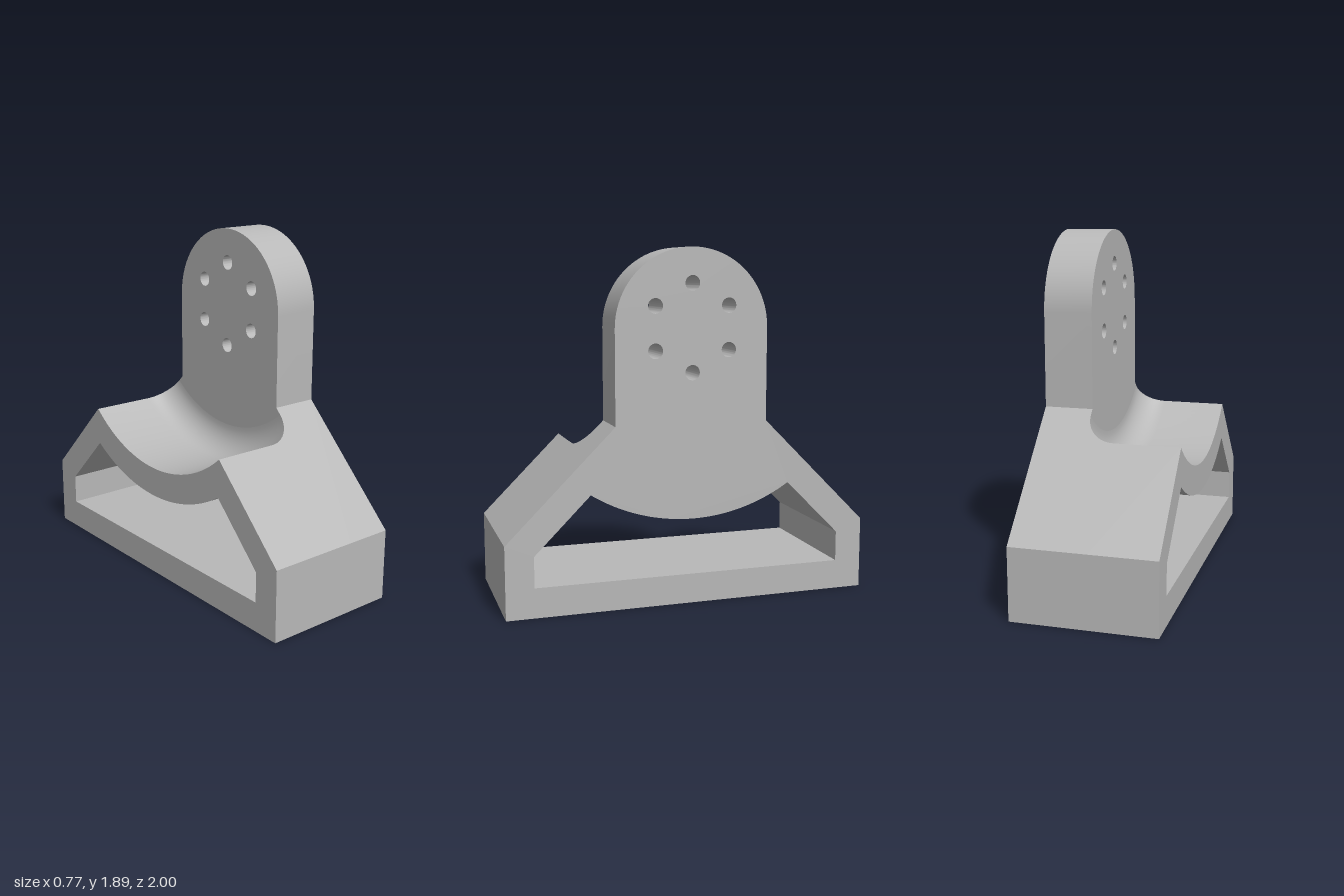
import * as THREE from 'three';
import { toCreasedNormals } from 'three/addons/utils/BufferGeometryUtils.js';

const HALF = 0.385;       // half width along x
const FACE = 0.125;       // inner face of the upright plate
const FILLET = 0.155;     // fillet between saddle and plate
const AXIS = 1.473;       // height of the bore axis
const HEAD = 0.417;       // radius of the rounded head
const SADDLE = 0.85;      // radius of the saddle
const SLOPE = 1.39;       // shoulders lie on |z| + y = SLOPE
const FILLET_STEPS = 12;

// Points on a circle about the bore axis; angle 0 points straight down
function arc(radius, from, to, n) {
  return Array.from({ length: n + 1 }, (_, i) => {
    const a = from + (to - from) * i / n;
    return new THREE.Vector2(radius * Math.sin(a), AXIS - radius * Math.cos(a));
  });
}

const points = list => list.map(([x, y]) => new THREE.Vector2(x, y));

// Angle at which a circle about the bore axis meets the shoulder
function shoulderAngle(radius) {
  const d = AXIS - SLOPE;
  return Math.asin((-d + Math.sqrt(2 * radius * radius - d * d)) / 2 / radius);
}

// Opening under the saddle, through the full width
function windowHole() {
  const r = Math.hypot(0.55, AXIS - 0.625), a = Math.asin(0.55 / r);
  return new THREE.Path([
    ...points([[-0.85, 0.325], [-0.85, 0.16], [0.85, 0.16], [0.85, 0.325]]),
    ...arc(r, a, -a, 40),
  ]);
}

function finish(geometry) {
  geometry.rotateY(Math.PI / 2);
  return toCreasedNormals(geometry, 0.5);
}

// Upright plate with rounded head and a ring of six bolt holes
function plateGeometry() {
  const shape = new THREE.Shape([
    ...points([[-1, 0], [1, 0], [1, SLOPE - 1], [HEAD, SLOPE - HEAD]]),
    ...arc(HEAD, Math.PI / 2, Math.PI * 1.5, 48),
    ...points([[-HEAD, SLOPE - HEAD], [-1, SLOPE - 1]]),
  ]);
  shape.holes.push(windowHole());
  for (let i = 0; i < 6; i++) {
    const a = i * Math.PI / 3;
    shape.holes.push(new THREE.Path().absarc(
      0.232 * Math.sin(a), AXIS + 0.232 * Math.cos(a), 0.04, 0, Math.PI * 2, true));
  }
  const g = new THREE.ExtrudeGeometry(shape, {
    depth: HALF - FACE, bevelEnabled: false, curveSegments: 24,
  });
  g.translate(0, 0, FACE);
  return finish(g);
}

// Saddle base: extruded in steps, its curved top then shrinks along the fillet
function saddleGeometry() {
  const a0 = shoulderAngle(SADDLE);
  const shape = new THREE.Shape([
    ...points([[-1, 0], [1, 0], [1, SLOPE - 1]]),
    ...arc(SADDLE, a0, -a0, 40),
    ...points([[-1, SLOPE - 1]]),
  ]);
  shape.holes.push(windowHole());
  const steps = FILLET_STEPS + 1;
  const g = new THREE.ExtrudeGeometry(shape, { depth: steps, steps, bevelEnabled: false });
  const p = g.attributes.position;
  for (let i = 0; i < p.count; i++) {
    const x = p.getX(i), y = p.getY(i), k = Math.round(p.getZ(i));
    const phi = Math.max(0, k - 1) / FILLET_STEPS * Math.PI / 2;
    p.setZ(i, k === 0 ? -HALF : FACE - FILLET + FILLET * Math.sin(phi));
    if (Math.abs(Math.hypot(x, y - AXIS) - SADDLE) < 1e-3) {
      const r = SADDLE - FILLET * (1 - Math.cos(phi));
      const a = Math.atan2(x, AXIS - y) / a0 * shoulderAngle(r);
      p.setXY(i, r * Math.sin(a), AXIS - r * Math.cos(a));
    }
  }
  return finish(g);
}

export function createModel() {
  const grey = new THREE.MeshStandardMaterial({ color: 0xb8b8b8 });
  grey.name = 'grey metal';
  const group = new THREE.Group();
  group.name = 'mountingBracket';
  const parts = { uprightPlate: plateGeometry(), saddleBase: saddleGeometry() };
  for (const [name, geometry] of Object.entries(parts)) {
    const mesh = new THREE.Mesh(geometry, grey);
    mesh.name = name;
    group.add(mesh);
  }
  return group;
}
